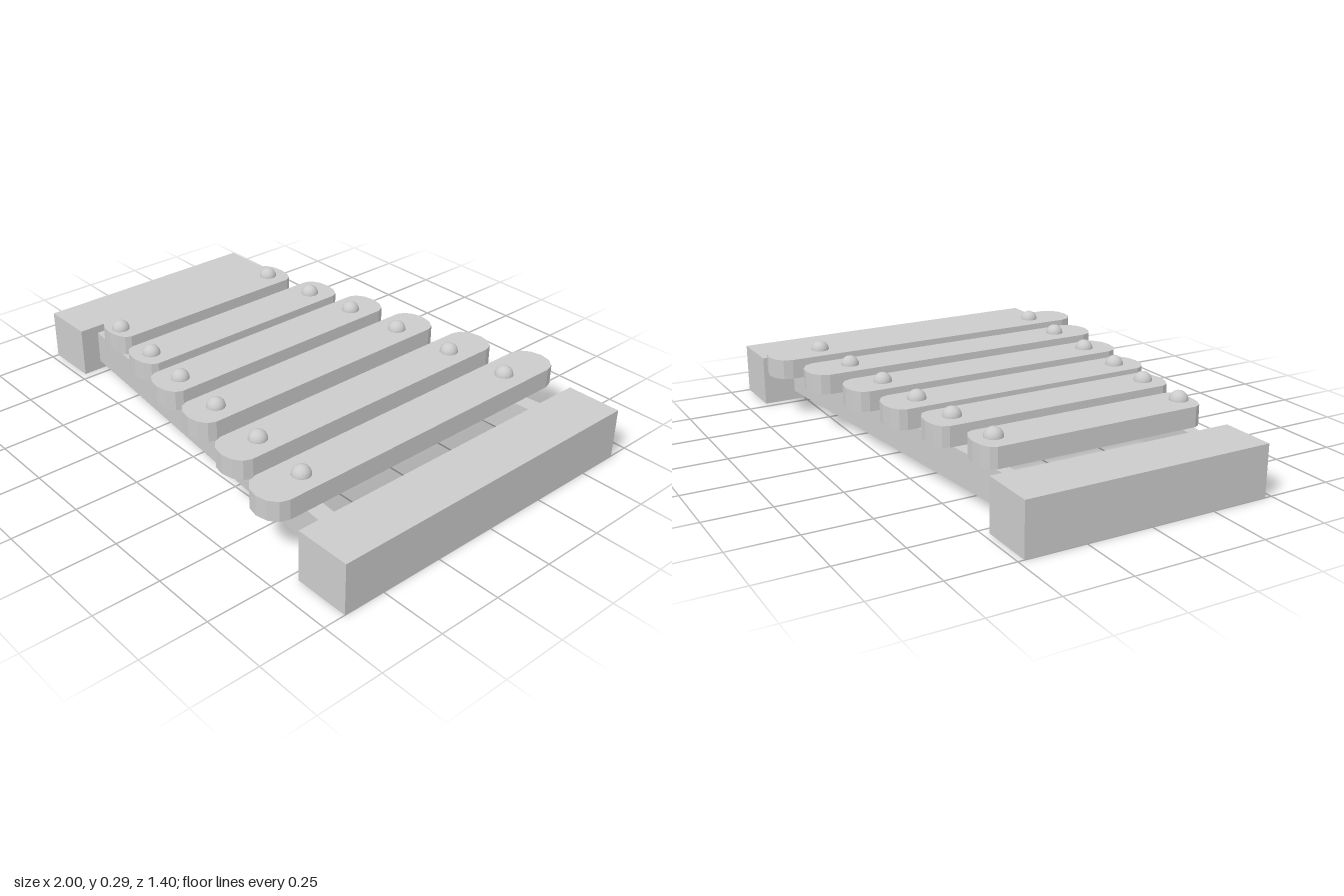
import * as THREE from 'three';

export function createModel() {
  const model = new THREE.Group();
  const material = new THREE.MeshStandardMaterial({ color: 0xcccccc });

  const add = (name, geometry) => {
    const mesh = new THREE.Mesh(geometry, material);
    mesh.name = name;
    model.add(mesh);
    return mesh;
  };

  // Extrudes an outline of [x, z] points upward from y0 to y1.
  const slab = (name, points, y0, y1) => {
    const shape = new THREE.Shape(points.map(([x, z]) => new THREE.Vector2(x, -z)));
    const geometry = new THREE.ExtrudeGeometry(shape, { depth: y1 - y0, bevelEnabled: false });
    geometry.rotateX(-Math.PI / 2).translate(0, y0, 0);
    return add(name, geometry);
  };

  // End blocks, the longer one beside the longest bar
  const block = (name, x0, x1, z0, z1) =>
    add(name, new THREE.BoxGeometry(x1 - x0, 0.197, z1 - z0))
      .position.set((x0 + x1) / 2, 0.0985, (z0 + z1) / 2);
  block('shortEndBlock', -1, -0.784, -0.477, 0.473);
  block('longEndBlock', 0.784, 1, -0.669, 0.665);

  // Slanted rails that widen toward the long end
  slab('backRail', [[-0.784, -0.387], [0.784, -0.541], [0.784, -0.474], [-0.784, -0.34]], 0.036, 0.166);
  slab('frontRail', [[-0.784, 0.35], [0.784, 0.492], [0.784, 0.559], [-0.784, 0.398]], 0.036, 0.166);

  // Bars: centre x, half length, z of the back and front pin
  const bars = [
    [-0.617, 0.444, -0.366, 0.39],
    [-0.37, 0.492, -0.39, 0.414],
    [-0.145, 0.546, -0.414, 0.441],
    [0.1, 0.586, -0.436, 0.463],
    [0.361, 0.64, -0.457, 0.484],
    [0.615, 0.7, -0.481, 0.51],
  ];
  const halfWidth = 0.088;
  const capSegments = 6;
  const pin = new THREE.SphereGeometry(0.035, 20, 8, 0, Math.PI * 2, 0, Math.PI / 2);

  bars.forEach(([x, halfLength, backZ, frontZ], i) => {
    // Rounded caps are stretched along with the bar
    const cap = halfLength * 0.1;
    const outline = [];
    for (const side of [1, -1]) {
      for (let k = 0; k <= capSegments; k++) {
        const a = (k / capSegments) * Math.PI;
        outline.push([
          x + side * halfWidth * Math.cos(a),
          -0.002 + side * (halfLength - cap + cap * Math.sin(a)),
        ]);
      }
    }
    slab(`bar${i + 1}`, outline.reverse(), 0.175, 0.252);

    // Domed pins
    add(`backPin${i + 1}`, pin).position.set(x + 0.003, 0.252, backZ);
    add(`frontPin${i + 1}`, pin).position.set(x + 0.003, 0.252, frontZ);
  });

  return model;
}
